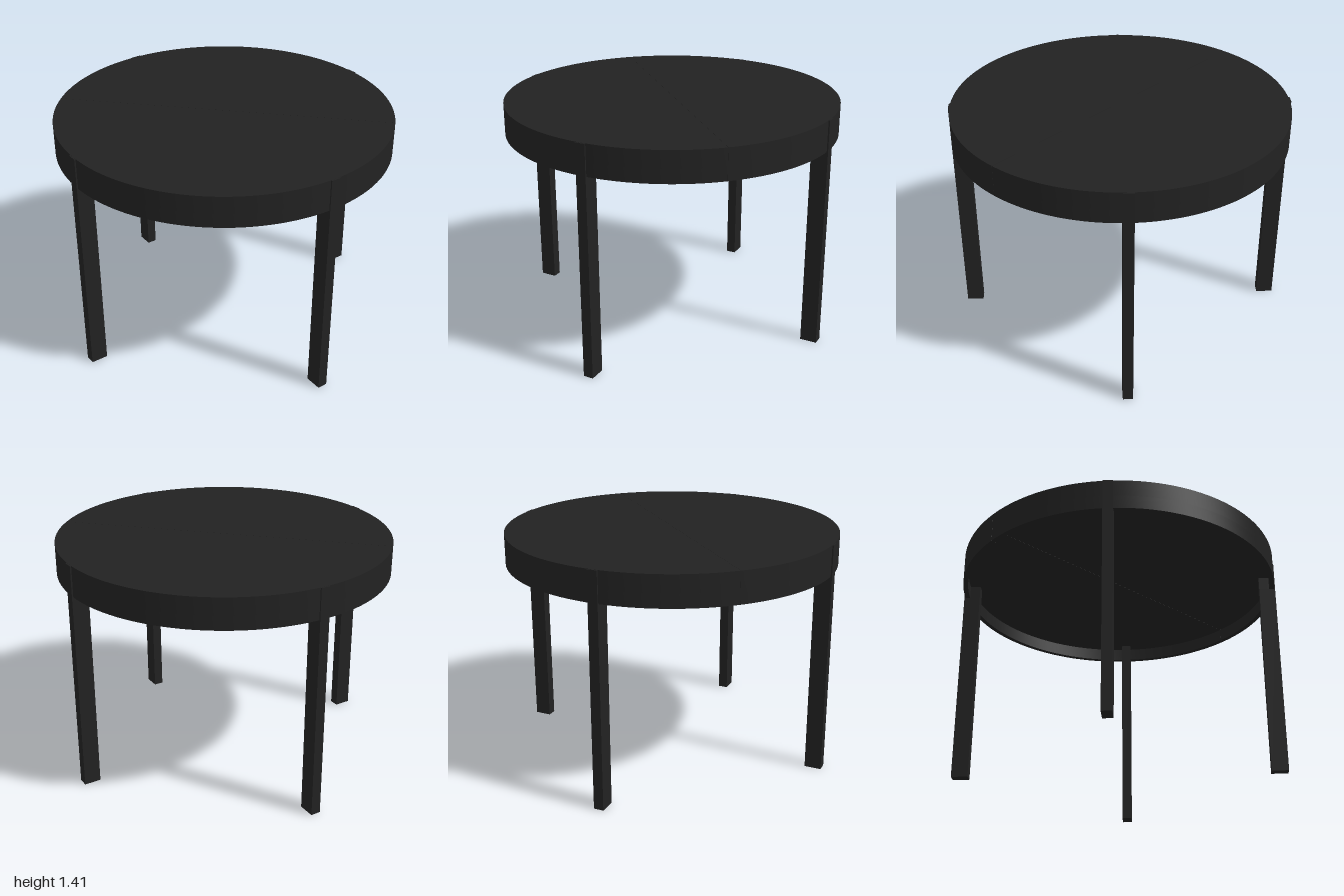
import * as THREE from 'three';
import { toCreasedNormals } from 'three/addons/utils/BufferGeometryUtils.js';

const TOP = 1.41;      // upper surface
const UNDER = 1.307;   // underside of the top
const RIM = 1.225;     // lower edge of the apron

const black = new THREE.MeshStandardMaterial({ color: 0x222222 });
black.name = 'blackPaint';

function addMesh(parent, name, geometry) {
  const mesh = new THREE.Mesh(geometry, black);
  mesh.name = name;
  parent.add(mesh);
  return mesh;
}

// Extrudes a plan shape upward between two heights, keeping the round side smooth
function slab(shape, bottom, top) {
  const g = new THREE.ExtrudeGeometry(shape, { depth: top - bottom, bevelEnabled: false, curveSegments: 48 });
  g.rotateX(-Math.PI / 2);
  g.translate(0, bottom, 0);
  return toCreasedNormals(g, 0.5);
}

function block(inner, outer, width, bottom, top) {
  const g = new THREE.BoxGeometry(outer - inner, top - bottom, width);
  g.translate((inner + outer) / 2, (bottom + top) / 2, 0);
  return g;
}

export function createModel() {
  const table = new THREE.Group();
  table.name = 'roundTable';

  // Two half-round leaves meeting at a straight seam, each with its half of the apron
  const disc = new THREE.Shape();
  disc.absarc(0, 0, 1, 0, Math.PI, false);
  disc.closePath();
  const band = new THREE.Shape();
  band.absarc(0, 0, 1, 0, Math.PI, false);
  band.absarc(0, 0, 0.97, Math.PI, 0, true);
  band.closePath();
  for (let i = 0; i < 2; i++) {
    const half = new THREE.Group();
    half.name = i ? 'frontHalf' : 'backHalf';
    half.rotation.y = i * Math.PI;
    addMesh(half, 'topLeaf', slab(disc, UNDER, TOP)).position.z = -0.0005;
    addMesh(half, 'apron', slab(band, RIM, UNDER)).position.z = -0.0005;
    table.add(half);
  }

  // Four diagonal legs, each with an outer tab let into the apron
  for (let i = 0; i < 4; i++) {
    const leg = new THREE.Group();
    leg.name = 'leg' + (i + 1);
    leg.rotation.y = Math.PI / 4 + i * Math.PI / 2;
    addMesh(leg, 'legPost', block(0.907, 1.008, 0.06, 0, RIM));
    addMesh(leg, 'legTenon', block(0.907, 0.956, 0.06, RIM, UNDER));
    addMesh(leg, 'apronTab', block(0.956, 1.008, 0.06, RIM, TOP - 0.001));
    table.add(leg);
  }
  return table;
}
